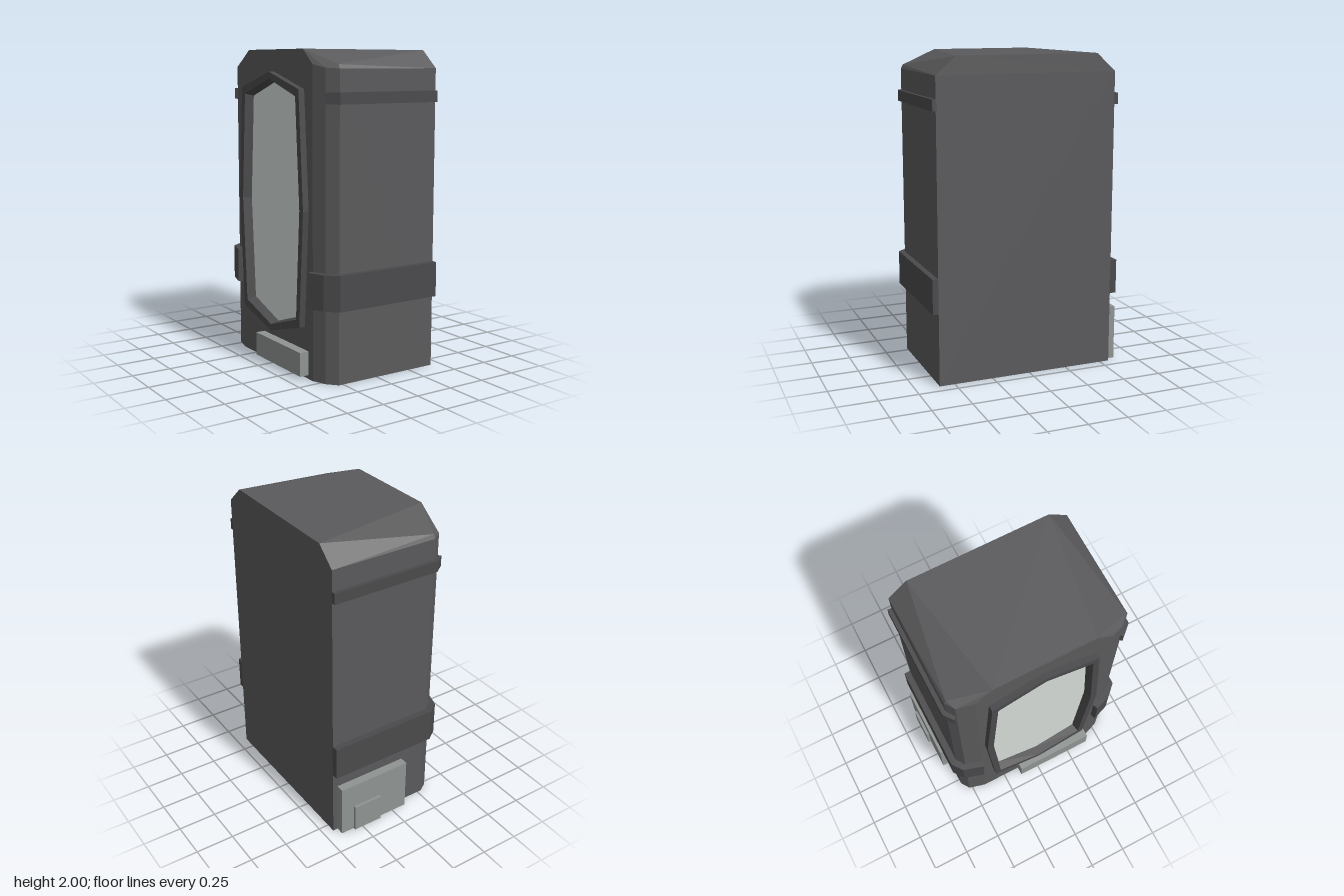
import * as THREE from 'three';
import { ConvexGeometry } from 'three/addons/geometries/ConvexGeometry.js';

const CZ = 0.018; // depth centre of the cabinet
const BAND_CZ = 0.0155; // depth centre of the bands
const SIDE_X = -0.37; // plane of the window side
const material = (color) => new THREE.MeshStandardMaterial({ color, flatShading: true });

export function createModel() {
  const model = new THREE.Group();
  const bodyMat = material(0x5a5a5c);
  const trimMat = material(0x4a4a4c);
  const plateMat = material(0x8f9492);
  const paneMat = material(0xd4dad7);

  const add = (name, geometry, mat) => {
    const mesh = new THREE.Mesh(geometry, mat);
    mesh.name = name;
    model.add(mesh);
    return mesh;
  };
  const fromPositions = (positions) => {
    const geo = new THREE.BufferGeometry();
    geo.setAttribute('position', new THREE.Float32BufferAttribute(positions, 3));
    geo.computeVertexNormals();
    return geo;
  };
  // Flat shape given in z and y, facing -x
  const toPath = (outline) => outline.map(([z, y]) => new THREE.Vector2(z, y));
  const sideFace = (shape, x) => new THREE.ShapeGeometry(shape).rotateY(-Math.PI / 2).translate(x, 0, 0);

  // Window outline in z and y, inset by d, clockwise from the top
  const windowOutline = (d) => [
    [0, 0.822 - d], [0.345 - d * 0.9, 0.722 - d], [0.392 - d, 0], [0.345 - d * 0.9, d - 0.722],
    [0, d - 0.822], [d * 0.9 - 0.345, d - 0.722], [d - 0.392, 0], [d * 0.9 - 0.345, 0.722 - d],
  ].map(([z, y]) => [z + 0.012, y + 1.042]);

  // Cabinet: faceted corners on the -x side, sloping shoulders on the roof
  const corners = [];
  for (const s of [1, -1]) {
    const [mx, mz] = s > 0 ? [-0.336, 0.518] : [-0.34, 0.54];
    for (const [x, y, z] of [
      [0.432, 0, 0.58], [-0.28, 0, 0.58], [mx, 0, mz], [SIDE_X, 0, 0.43],
      [0.432, 1.885, 0.58], [-0.28, 1.885, 0.58], [mx, 1.89, mz], [SIDE_X, 1.91, 0.43],
      [-0.28, 1.91, 0.567], [SIDE_X, 2, 0.325], [0.432, 1.996, 0.455],
    ]) corners.push(new THREE.Vector3(x, y, CZ + s * z));
  }
  // Leave the window side open, then close it with a face that has an opening
  const hull = new ConvexGeometry(corners).attributes.position.array;
  const shell = [];
  for (let i = 0; i < hull.length; i += 9) {
    if (Math.max(hull[i], hull[i + 3], hull[i + 6]) > SIDE_X + 0.001) shell.push(...hull.slice(i, i + 9));
  }
  add('cabinet', fromPositions(shell), bodyMat);
  const side = new THREE.Shape(toPath([
    [CZ - 0.43, 0], [CZ + 0.43, 0], [CZ + 0.43, 1.91], [CZ + 0.325, 2], [CZ - 0.325, 2], [CZ - 0.43, 1.91],
  ]));
  side.holes.push(new THREE.Path(toPath(windowOutline(0.02))));
  add('windowSide', sideFace(side, SIDE_X), bodyMat);

  // Bands wrapping the front and back: outlines in x and z, raised along y
  const band = (name, outline, s, y0, y1) => {
    const shape = new THREE.Shape(outline.map(([x, z]) => new THREE.Vector2(x, -(BAND_CZ + s * z))));
    const geo = new THREE.ExtrudeGeometry(shape, { depth: y1 - y0, bevelEnabled: false });
    add(name, geo.rotateX(-Math.PI / 2).translate(0, y0, 0), trimMat);
  };
  for (const [end, s, k] of [['Front', 1, 0], ['Back', -1, 0.022]]) { // k: fuller back corner
    band('upperBand' + end, [
      [0.432, 0.603], [-0.29, 0.603], [-0.352, 0.535 + k], [-0.334, 0.515 + k], [-0.27, 0.575], [0.432, 0.575],
    ], s, 1.68, 1.75);
    band('lowerBand' + end, [
      [0.432, 0.619], [-0.295, 0.619], [-0.367, 0.545 + k], [-0.408, 0.435],
      [-0.368, 0.422], [-0.332, 0.515 + k], [-0.275, 0.575], [0.432, 0.575],
    ], s, 0.46, 0.68);
  }

  // Window frame: outer wall, face and recessed inner wall
  const rings = [[0, -0.365], [0, -0.41], [0.042, -0.41], [0.056, -0.352]]
    .map(([d, x]) => windowOutline(d).map(([z, y]) => [x, y, z]));
  const positions = [];
  for (let r = 0; r < rings.length - 1; r++) {
    const a = rings[r], b = rings[r + 1];
    for (let i = 0; i < 8; i++) {
      const j = (i + 1) % 8;
      positions.push(...a[i], ...b[i], ...b[j], ...a[i], ...b[j], ...a[j]);
    }
  }
  add('windowFrame', fromPositions(positions), trimMat);
  add('windowPane', sideFace(new THREE.Shape(toPath(windowOutline(0.056))), -0.352), paneMat);

  // Raised plates given by their limits
  const plate = (name, x0, x1, y0, y1, z0, z1) =>
    add(name, new THREE.BoxGeometry(x1 - x0, y1 - y0, z1 - z0), plateMat)
      .position.set((x0 + x1) / 2, (y0 + y1) / 2, (z0 + z1) / 2);
  plate('sidePlate', -0.432, -0.365, 0.025, 0.175, -0.14, 0.4);
  plate('backPlate', -0.1, 0.4, 0.002, 0.355, -0.617, -0.555);
  plate('backSmallPlate', 0.11, 0.31, 0.002, 0.185, -0.635, -0.61);

  return model;
}
